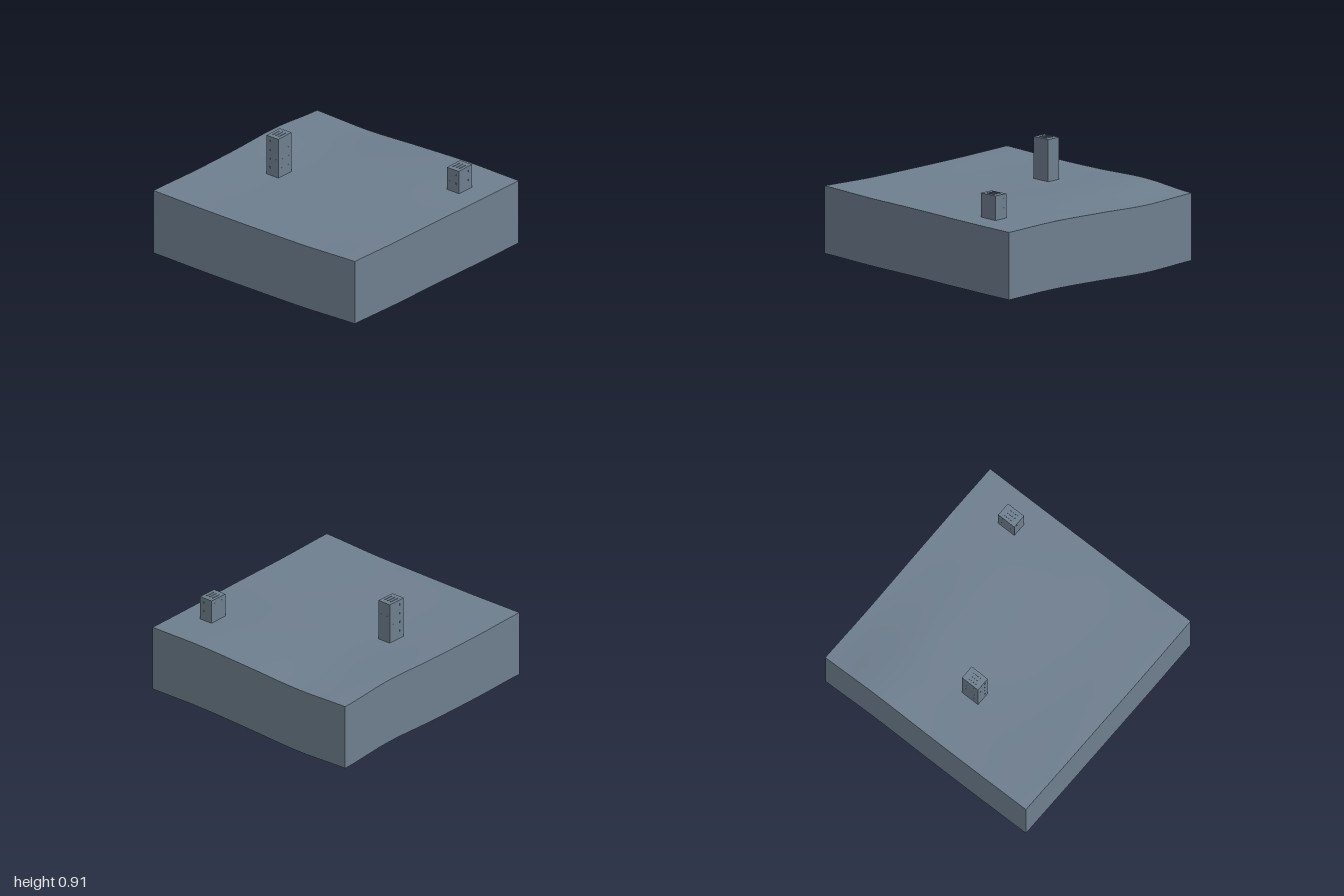
import * as THREE from 'three';

const DEPTH = 0.533;
const SEG = 40;

// Heights along each edge, evenly spaced from -1 to 1
const edge = (...h) => {
  const curve = new THREE.SplineCurve(h.map((y, i) => new THREE.Vector2(i, y)));
  return (t) => curve.getPoint(t).y;
};
const back = edge(0.55, 0.533, 0.55, 0.563, 0.555);
const front = edge(0.61, 0.6, 0.596, 0.596, 0.61);
const sideMinusX = edge(0.55, 0.59, 0.586, 0.592, 0.61);
const sidePlusX = edge(0.555, 0.565, 0.58, 0.591, 0.61);

// Smooth blend of the four edge curves over the whole top
function heightAt(x, z) {
  const u = (x + 1) / 2, v = (z + 1) / 2;
  const corners = (1 - v) * ((1 - u) * back(0) + u * back(1)) + v * ((1 - u) * front(0) + u * front(1));
  return (1 - v) * back(u) + v * front(u) + (1 - u) * sideMinusX(v) + u * sidePlusX(v) - corners;
}

export function createModel() {
  const model = new THREE.Group();
  const slate = new THREE.MeshStandardMaterial({ color: 0x708090, side: THREE.DoubleSide });
  slate.name = 'slateGrey';

  function add(parent, name, geometry, x = 0, y = 0, z = 0) {
    const mesh = new THREE.Mesh(geometry, slate);
    mesh.name = name;
    mesh.position.set(x, y, z);
    parent.add(mesh);
    return mesh;
  }

  // Rolling top surface
  const top = new THREE.PlaneGeometry(2, 2, SEG, SEG).rotateX(-Math.PI / 2);
  const p = top.attributes.position;
  for (let i = 0; i < p.count; i++) p.setY(i, heightAt(p.getX(i), p.getZ(i)));
  top.computeVertexNormals();
  add(model, 'terrainTop', top);

  // Four skirt walls, whose lower rims follow the top edge; the underside is open
  const names = ['frontWall', 'plusXWall', 'backWall', 'minusXWall'];
  names.forEach((name, k) => {
    const wall = new THREE.PlaneGeometry(2, 1, SEG, 1).translate(0, 0, 1).rotateY(k * Math.PI / 2);
    const w = wall.attributes.position;
    for (let i = 0; i < w.count; i++) {
      const h = heightAt(w.getX(i), w.getZ(i));
      w.setY(i, w.getY(i) > 0 ? h : h - DEPTH);
    }
    add(model, name, wall);
  });

  // Small towers with thin window plates and roof ribs
  function tower(name, x, z, topY, rows) {
    const group = new THREE.Group();
    group.name = name;
    group.position.set(x, 0, z);
    const W = 0.118, D = 0.16;
    const base = heightAt(x, z) - 0.004;
    add(group, 'towerBody', new THREE.BoxGeometry(W, topY - base, D), 0, (topY + base) / 2, 0);
    for (const dx of [-0.03, 0, 0.03]) {
      add(group, 'roofRib', new THREE.BoxGeometry(0.008, 0.004, 0.08), dx, topY + 0.002, 0);
    }
    for (let r = 0; r < rows; r++) {
      const y = topY - 0.04 - r * 0.075;
      for (const s of [-1, 1]) {
        for (const c of [-1, 1]) {
          add(group, 'endWindow', new THREE.BoxGeometry(0.012, 0.016, 0.002), c * 0.028, y, s * D / 2);
          add(group, 'sideWindow', new THREE.BoxGeometry(0.002, 0.016, 0.012), s * W / 2, y, c * 0.04);
        }
      }
    }
    model.add(group);
  }
  tower('tallTower', -0.5, 0.08, 0.903, 4);
  tower('shortTower', 0.75, -0.585, 0.76, 2);

  return model;
}
